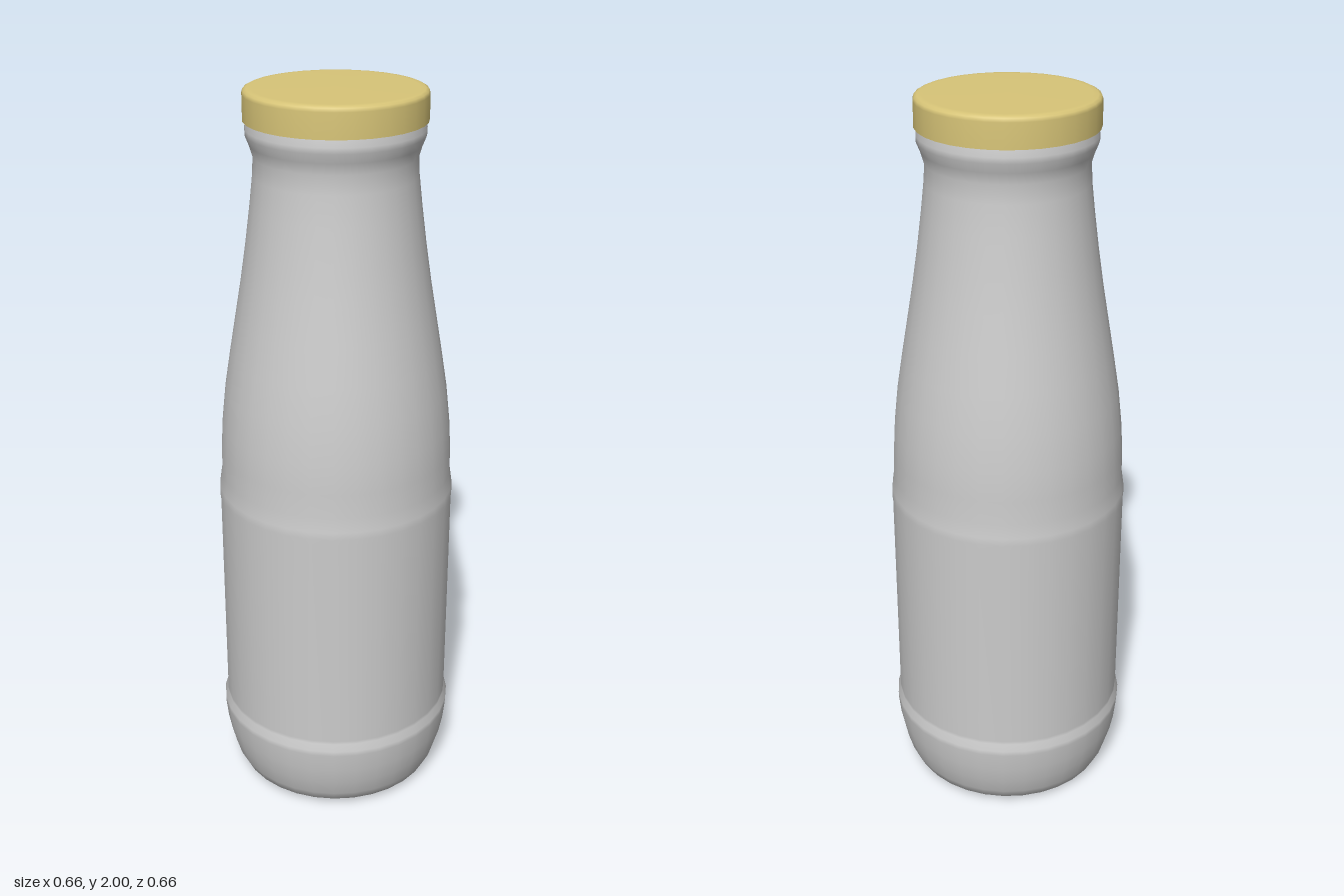
import * as THREE from 'three';

const SEGMENTS = 32;

// Revolves a profile of [radius, height] pairs, listed bottom to top; a repeated point makes a crease
function revolve(name, profile, material) {
  const points = profile.map(([r, y]) => new THREE.Vector2(r, y));
  const mesh = new THREE.Mesh(new THREE.LatheGeometry(points, SEGMENTS), material);
  mesh.name = name;
  return mesh;
}

export function createModel() {
  const group = new THREE.Group();
  group.name = 'milkBottle';

  const glass = new THREE.MeshStandardMaterial({ color: 0xcccccc });
  const gold = new THREE.MeshStandardMaterial({ color: 0xd8c578 });

  // Bottle: rounded base, raised foot band, label panel, shoulder, neck and lip
  group.add(revolve('bottle', [
    [0, 0], [0.24, 0], [0.24, 0],
    [0.265, 0.005], [0.285, 0.02], [0.3, 0.05], [0.315, 0.1], [0.325, 0.15],
    [0.331, 0.205], [0.331, 0.22], [0.323, 0.24], [0.323, 0.25],
    [0.323, 0.88], [0.325, 0.895], [0.323, 0.915], [0.317, 0.955],
    [0.316, 1.02], [0.311, 1.1], [0.3, 1.2], [0.284, 1.3], [0.267, 1.4],
    [0.25, 1.5], [0.235, 1.6], [0.222, 1.7], [0.213, 1.78], [0.211, 1.83],
    [0.22, 1.86], [0.23, 1.885], [0.23, 1.9], [0.225, 1.925], [0.22, 1.95],
  ], glass));

  // Cap: flat disc with a straight skirt and softened top edge
  group.add(revolve('cap', [
    [0, 1.92], [0.235, 1.92], [0.235, 1.92],
    [0.235, 1.985], [0.232, 1.994], [0.224, 1.998], [0.21, 1.999], [0, 2],
  ], gold));

  return group;
}
